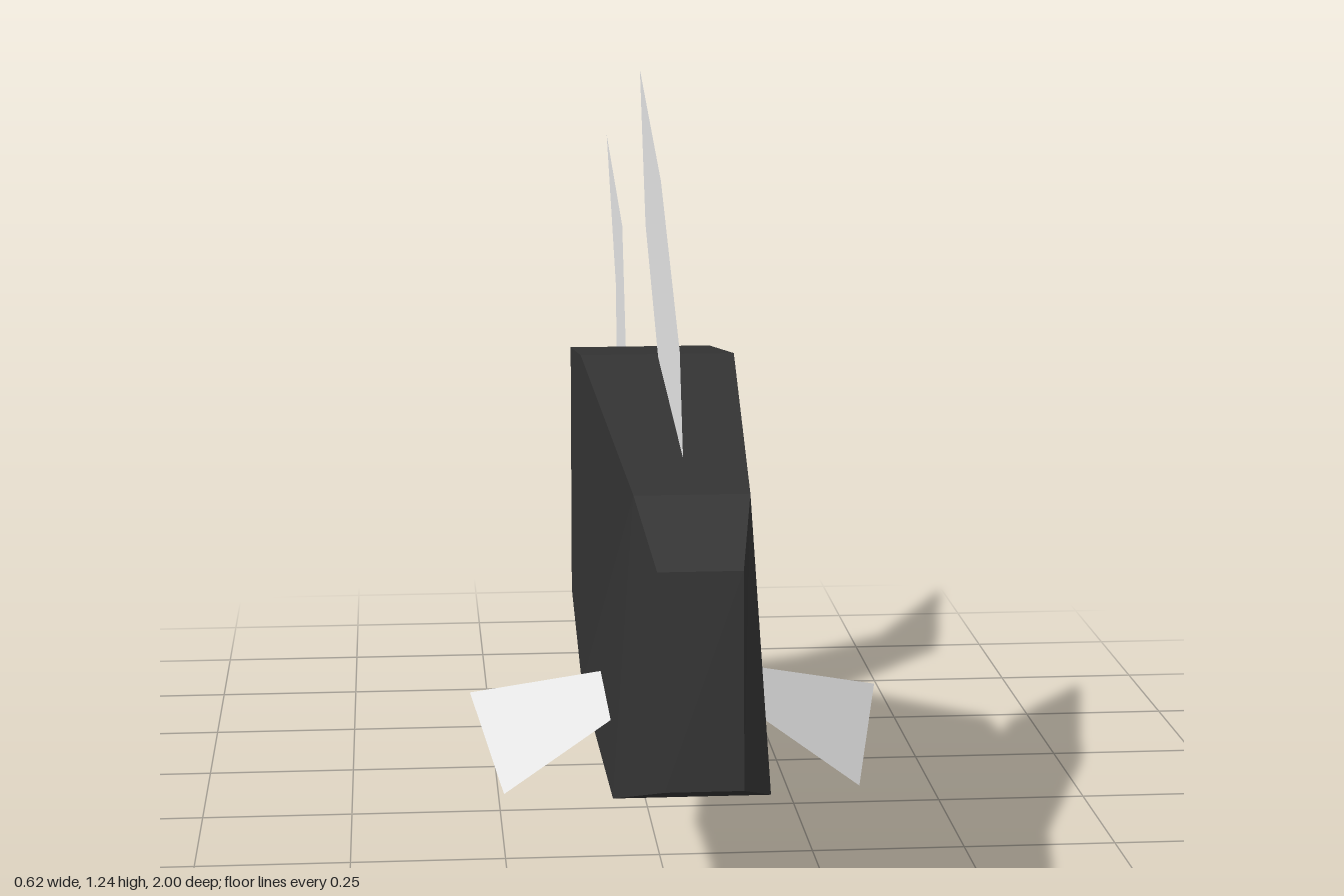
import * as THREE from 'three';

// Fish body from rectangular cross-sections, nose to tail.
// Each: [top half-width, top y, top z, bottom half-width, bottom y, bottom z]
const SECTIONS = [
  [0.06, 0.64, 0.93, 0.055, 0.345, 1.0],
  [0.083, 0.72, 0.8, 0.114, 0.279, 0.815],
  [0.122, 0.816, 0.2, 0.122, 0.274, 0.2],
  [0.118, 0.766, -0.16, 0.118, 0.344, -0.16],
  [0, 0.595, -0.45, 0, 0.45, -0.45],
];

function bodyGeometry() {
  const positions = [];
  const index = [0, 1, 2, 0, 2, 3]; // nose cap
  SECTIONS.forEach(([tw, ty, tz, bw, by, bz], s) => {
    positions.push(tw, ty, tz, -tw, ty, tz, -bw, by, bz, bw, by, bz);
    if (s === SECTIONS.length - 1) return;
    for (let i = 0; i < 4; i++) {
      const a = s * 4 + i;
      const b = s * 4 + ((i + 1) % 4);
      index.push(a, a + 4, b + 4, a, b + 4, b);
    }
  });
  const indexed = new THREE.BufferGeometry();
  indexed.setAttribute('position', new THREE.Float32BufferAttribute(positions, 3));
  indexed.setIndex(index);
  const geometry = indexed.toNonIndexed();
  geometry.computeVertexNormals();
  return geometry;
}

// Flat fin on the centre plane from [z, y] outline points
function uprightFin(points) {
  const shape = new THREE.Shape(points.map(([z, y]) => new THREE.Vector2(z, y)));
  return new THREE.ShapeGeometry(shape).rotateY(-Math.PI / 2);
}

// Four-cornered side fin; side is 1 for left (+x), -1 for right
function sideFin(side) {
  const corners = [
    [0.12, 0.42, 0.64],
    [0.31, 0.35, 0.495],
    [0.265, 0.24, 0.66],
    [0.11, 0.365, 0.71],
  ];
  const order = side > 0 ? [0, 2, 1, 0, 3, 2] : [0, 1, 2, 0, 2, 3];
  const positions = order.flatMap((i) => [corners[i][0] * side, corners[i][1], corners[i][2]]);
  const geometry = new THREE.BufferGeometry();
  geometry.setAttribute('position', new THREE.Float32BufferAttribute(positions, 3));
  geometry.computeVertexNormals();
  return geometry;
}

export function createModel() {
  const bodyDark = new THREE.MeshStandardMaterial({ color: 0x333333, flatShading: true });
  bodyDark.name = 'bodyDark';
  const finPale = new THREE.MeshStandardMaterial({ color: 0xe5e5e5, flatShading: true, side: THREE.DoubleSide });
  finPale.name = 'finPale';

  const fish = new THREE.Group();
  fish.name = 'fish';
  const add = (name, geometry, material) => {
    const mesh = new THREE.Mesh(geometry, material);
    mesh.name = name;
    fish.add(mesh);
  };

  add('body', bodyGeometry(), bodyDark);

  add('dorsalFin', uprightFin([
    [0.66, 0.735], [0.6, 0.89], [0.265, 1.1], [-0.16, 1.235], [-0.04, 0.99], [0.22, 0.81],
  ]), finPale);

  add('tailFin', uprightFin([
    [-0.45, 0.595], [-0.58, 0.915], [-1, 1.035], [-0.75, 0.78], [-0.718, 0.525],
    [-0.75, 0.265], [-1, 0], [-0.577, 0.135], [-0.45, 0.45],
  ]), finPale);

  add('leftSideFin', sideFin(1), finPale);
  add('rightSideFin', sideFin(-1), finPale);

  return fish;
}
